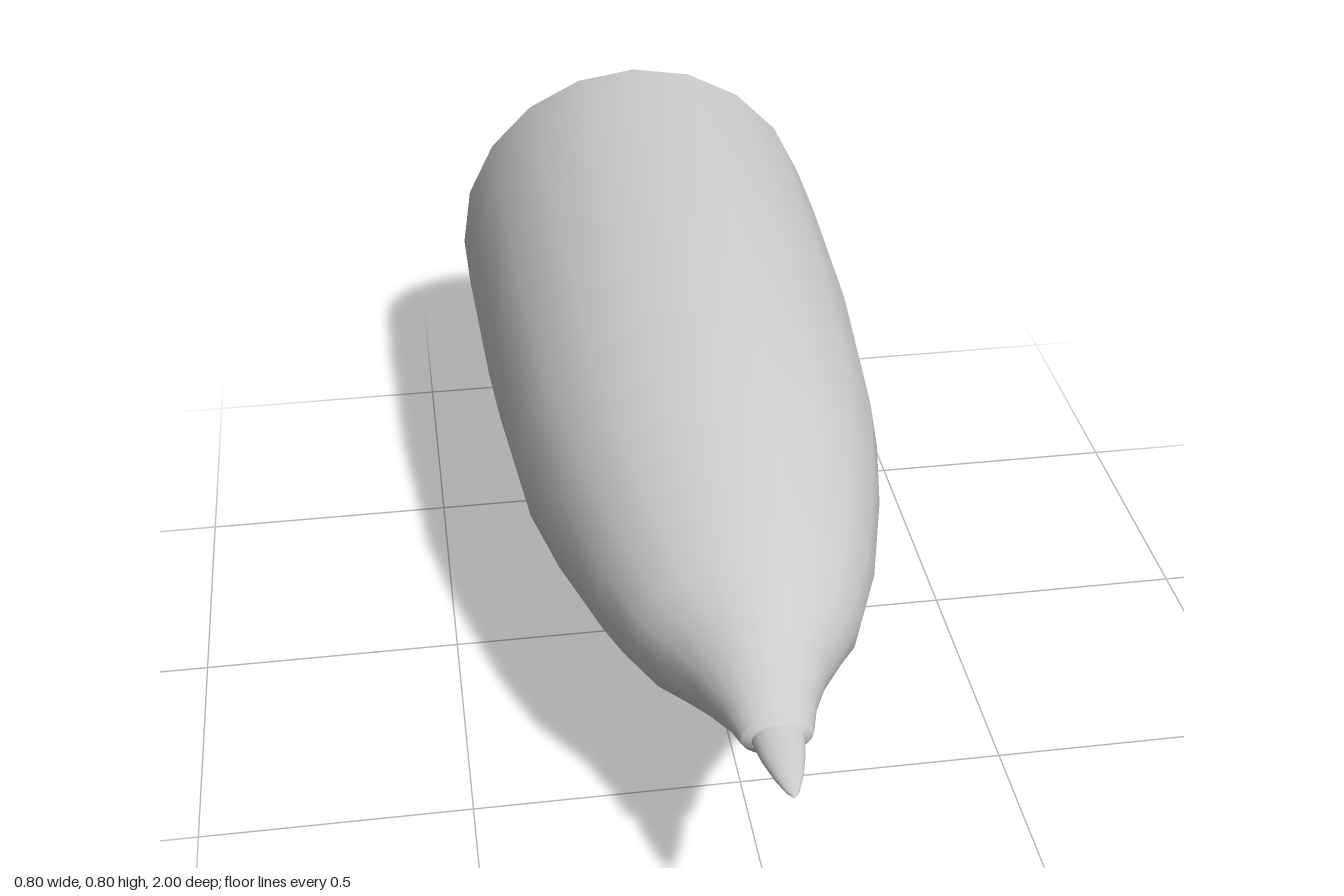
import * as THREE from 'three';

const CENTER_Y = 0.4;

// Smooth skin through elliptical rings [z, halfWidth, halfHeight], ordered back to front
function loft(rings, sides) {
  const positions = [], index = [];
  for (const [z, rx, ry] of rings) {
    for (let j = 0; j < sides; j++) {
      const a = (j / sides) * Math.PI * 2;
      positions.push(rx * Math.sin(a), ry * Math.cos(a), z);
    }
  }
  for (let k = 0; k < rings.length - 1; k++) {
    for (let j = 0; j < sides; j++) {
      const next = (j + 1) % sides;
      const a = k * sides + j, b = k * sides + next;
      const c = a + sides, d = b + sides;
      index.push(a, c, b, b, c, d);
    }
  }
  const geometry = new THREE.BufferGeometry();
  geometry.setAttribute('position', new THREE.Float32BufferAttribute(positions, 3));
  geometry.setIndex(index);
  geometry.computeVertexNormals();
  return geometry;
}

export function createModel() {
  const group = new THREE.Group();
  const material = new THREE.MeshStandardMaterial({ color: 0xcccccc });
  const add = (name, geometry) => {
    const mesh = new THREE.Mesh(geometry, material);
    mesh.name = name;
    mesh.position.y = CENTER_Y;
    group.add(mesh);
    return mesh;
  };

  // Tapering body: round at the back, flattened with a concave neck at the front
  add('body', loft([
    [-1, 0.4, 0.4],
    [-0.8, 0.399, 0.397],
    [-0.4, 0.387, 0.374],
    [0, 0.355, 0.322],
    [0.2, 0.316, 0.275],
    [0.43, 0.255, 0.212],
    [0.57, 0.2, 0.162],
    [0.62, 0.165, 0.14],
    [0.7, 0.115, 0.105],
    [0.78, 0.08, 0.067],
    [0.845, 0.062, 0.039],
  ], 20));

  // Small shoulder where the neck steps in to the tip
  add('neckShoulder', loft([
    [0.845, 0.062, 0.039],
    [0.855, 0.045, 0.031],
  ], 20));

  // Slender pointed tip
  add('tip', loft([
    [0.845, 0.046, 0.032],
    [0.9, 0.037, 0.022],
    [0.95, 0.024, 0.013],
    [0.985, 0.011, 0.006],
    [1, 0.0005, 0.0005],
  ], 20));

  // Flat back face
  const back = add('backFace', new THREE.CircleGeometry(0.4, 20));
  back.rotation.y = Math.PI;
  back.position.z = -1;

  return group;
}
